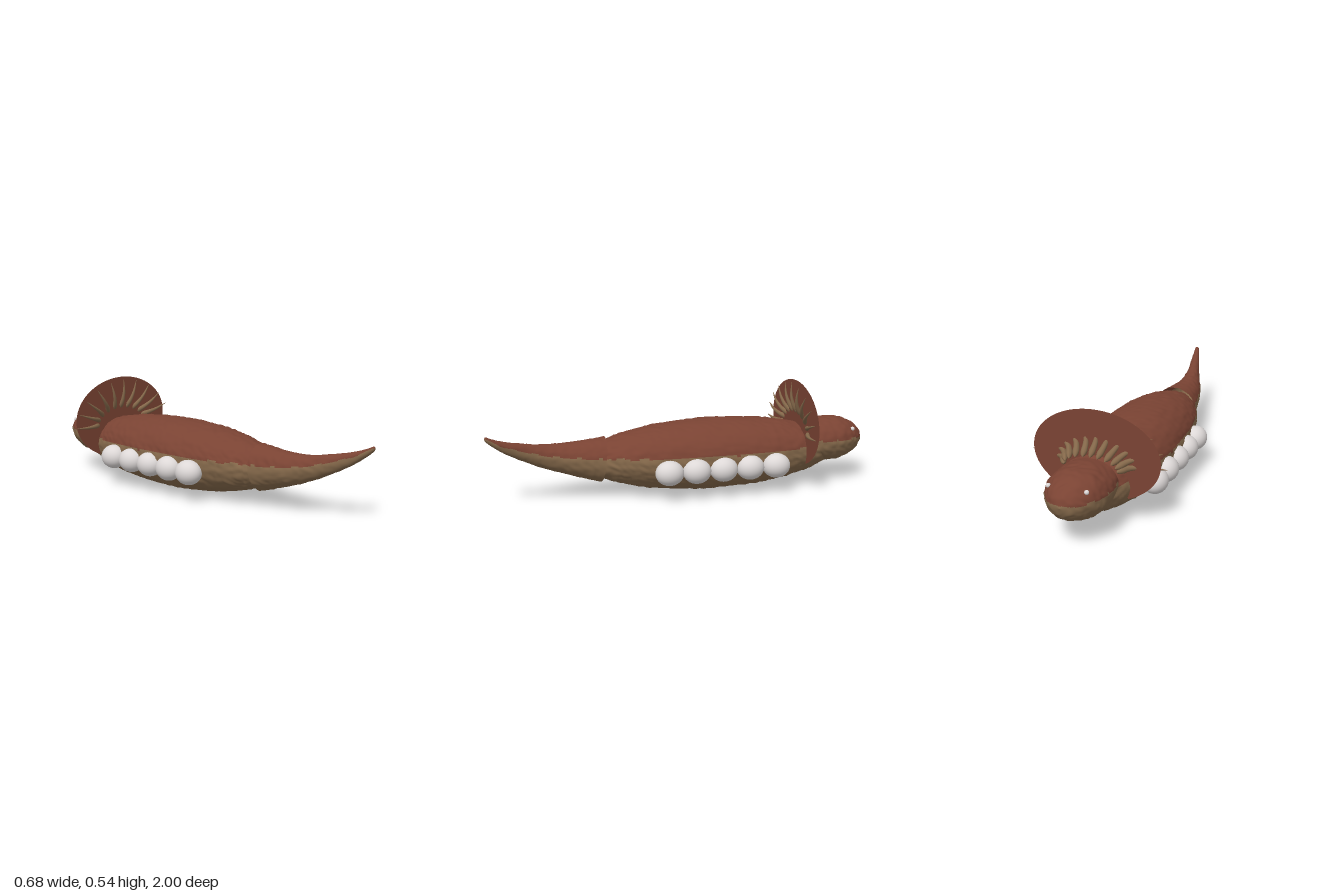
import * as THREE from 'three';

const V = (x, y, z) => new THREE.Vector3(x, y, z);

// Gentle lumpy skin
const bump = (x, y, z) =>
  Math.sin(x * 71 + Math.sin(z * 47) * 2) * Math.sin(y * 83 + Math.sin(x * 39) * 2) * Math.sin(z * 67 + Math.sin(y * 53) * 2);

// Loft of elliptical rings running towards +z; faces above the seam use material 0, the rest material 1
function loft(ringAt, seam, rows, cols, lump, tilt = 0) {
  const pos = [], upper = [], lower = [];
  for (let i = 0; i <= rows; i++) {
    const t = i / rows, { x, y, z, rx, ry } = ringAt(t);
    for (let j = 0; j < cols; j++) {
      const a = (j / cols) * Math.PI * 2, c = Math.cos(a), s = Math.sin(a);
      const px = x + rx * c, py = y + ry * s, pz = z - tilt * s * (1 - t);
      const d = lump * bump(px, py, pz) * Math.min(1, rx * 20);
      pos.push(px + d * c, py + d * s, pz);
    }
  }
  for (let i = 0; i < rows; i++) {
    const ring = ringAt((i + 0.5) / rows);
    for (let j = 0; j < cols; j++) {
      const k = (j + 1) % cols;
      const a = i * cols + j, b = i * cols + k, c = b + cols, d = a + cols;
      const my = ring.y + ring.ry * Math.sin(((j + 0.5) / cols) * Math.PI * 2);
      const line = seam(ring) + 0.003 * Math.sin(ring.z * 60);
      (my > line ? upper : lower).push(a, b, c, a, c, d);
    }
  }
  const g = new THREE.BufferGeometry();
  g.setAttribute('position', new THREE.Float32BufferAttribute(pos, 3));
  g.setIndex([...upper, ...lower]);
  g.addGroup(0, upper.length, 0);
  g.addGroup(upper.length, lower.length, 1);
  g.computeVertexNormals();
  return g;
}

// Ring function from key rows [x, y, z, rx, ry]
function splineRings(keys) {
  const centres = new THREE.CatmullRomCurve3(keys.map(k => V(k[0], k[1], k[2])));
  const radii = new THREE.CatmullRomCurve3(keys.map(k => V(k[3], k[4], 0)));
  return t => {
    const c = centres.getPoint(t), r = radii.getPoint(t);
    return { x: c.x, y: c.y, z: c.z, rx: Math.max(r.x, 0), ry: Math.max(r.y, 0) };
  };
}

// Curved spine, rounded at the root and pointed at the tip
function spineGeometry(points, radius) {
  const curve = new THREE.CatmullRomCurve3(points), segs = 20, sides = 10;
  const g = new THREE.TubeGeometry(curve, segs, radius, sides), p = g.attributes.position;
  const v = V(0, 0, 0);
  for (let i = 0; i < p.count; i++) {
    const t = Math.floor(i / (sides + 1)) / segs, c = curve.getPointAt(t);
    const taper = Math.min(1, Math.sqrt(t * 7)) * Math.pow(1 - t, 0.8);
    v.fromBufferAttribute(p, i).sub(c).multiplyScalar(taper).add(c);
    p.setXYZ(i, v.x, v.y, v.z);
  }
  g.computeVertexNormals();
  return g;
}

export function createModel() {
  const model = new THREE.Group();
  const mat = (name, color) => new THREE.MeshStandardMaterial({ name, color, side: THREE.DoubleSide });
  const redBrown = mat('red brown back', 0x7a4333);
  const tan = mat('tan belly', 0x84684a);
  const white = mat('pale white', 0xddd8d7);
  const add = (name, geometry, material, parent = model) => {
    const m = new THREE.Mesh(geometry, material);
    m.name = name;
    parent.add(m);
    return m;
  };

  // Long egg-shaped body
  const bodyRing = t => {
    const u = -Math.cos(t * Math.PI), r = Math.sin(t * Math.PI);
    return { x: 0, y: 0.185, z: -0.17 + 0.68 * u, rx: 0.226 * r, ry: 0.18 * r };
  };
  add('body', loft(bodyRing, () => 0.217, 110, 96, 0.005), [redBrown, tan]);

  // Blunt head at the -z end
  const headRing = splineRings([
    [0, 0.225, -1, 0, 0], [0, 0.225, -0.985, 0.05, 0.042], [0, 0.225, -0.95, 0.092, 0.077],
    [0, 0.224, -0.9, 0.124, 0.101], [0, 0.223, -0.84, 0.143, 0.116], [0, 0.222, -0.76, 0.146, 0.116],
    [0, 0.222, -0.68, 0.137, 0.106],
  ]);
  add('head', loft(headRing, () => 0.235, 50, 72, 0.004), [redBrown, tan]);

  // Tail curving up and to the side, open where it sleeves the body
  const tailRing = splineRings([
    [0, 0.188, 0.415, 0.115, 0.114], [0, 0.196, 0.5, 0.098, 0.097], [0, 0.208, 0.6, 0.077, 0.078],
    [0.013, 0.226, 0.7, 0.056, 0.06], [0.034, 0.256, 0.8, 0.036, 0.044], [0.059, 0.294, 0.9, 0.025, 0.028],
    [0.074, 0.328, 0.965, 0.016, 0.016], [0.08, 0.348, 0.995, 0.01, 0.01], [0.08, 0.351, 1, 0, 0],
  ]);
  add('tail', loft(tailRing, r => r.y + r.ry * 0.22, 70, 64, 0.003, 0.015), [redBrown, tan]);

  // Upright neck frill, open underneath
  const frill = add('neckFrill', new THREE.CircleGeometry(1, 96, -Math.PI / 3, Math.PI * 5 / 3), redBrown);
  frill.scale.set(0.318, 0.222, 1);
  frill.position.set(0, 0.32, -0.627);

  // Fan of spines passing through the frill
  const spines = new THREE.Group();
  spines.name = 'frillSpines';
  model.add(spines);
  for (let k = -5; k <= 5; k++) {
    const a = (k * Math.PI) / 10, s = Math.sign(k) * Math.pow(Math.abs(Math.sin(a)), 1.1), c = Math.cos(a);
    const at = (rx, ry, y, z) => V(rx * s, y + ry * c, z);
    add('spine', spineGeometry([
      at(0.13, 0.05, 0.285, -0.695), at(0.175, 0.1, 0.287, -0.628),
      at(0.25, 0.165, 0.288, -0.603), at(0.34, 0.24, 0.293, -0.602),
    ], 0.018), tan, spines);
  }

  // Rows of pale orbs along the flanks, and the tiny eyes
  const ball = new THREE.SphereGeometry(1, 32, 20);
  for (const side of [-1, 1]) {
    for (let i = 0; i < 5; i++) {
      const orb = add('flankOrb', ball, white);
      orb.scale.set(0.0625, 0.0625, 0.072);
      orb.position.set(side * 0.2175, 0.15, 0.12 - 0.14 * i);
    }
    const eye = add('eye', ball, white);
    eye.scale.setScalar(0.011);
    eye.position.set(side * 0.092, 0.282, -0.918);
  }
  return model;
}
